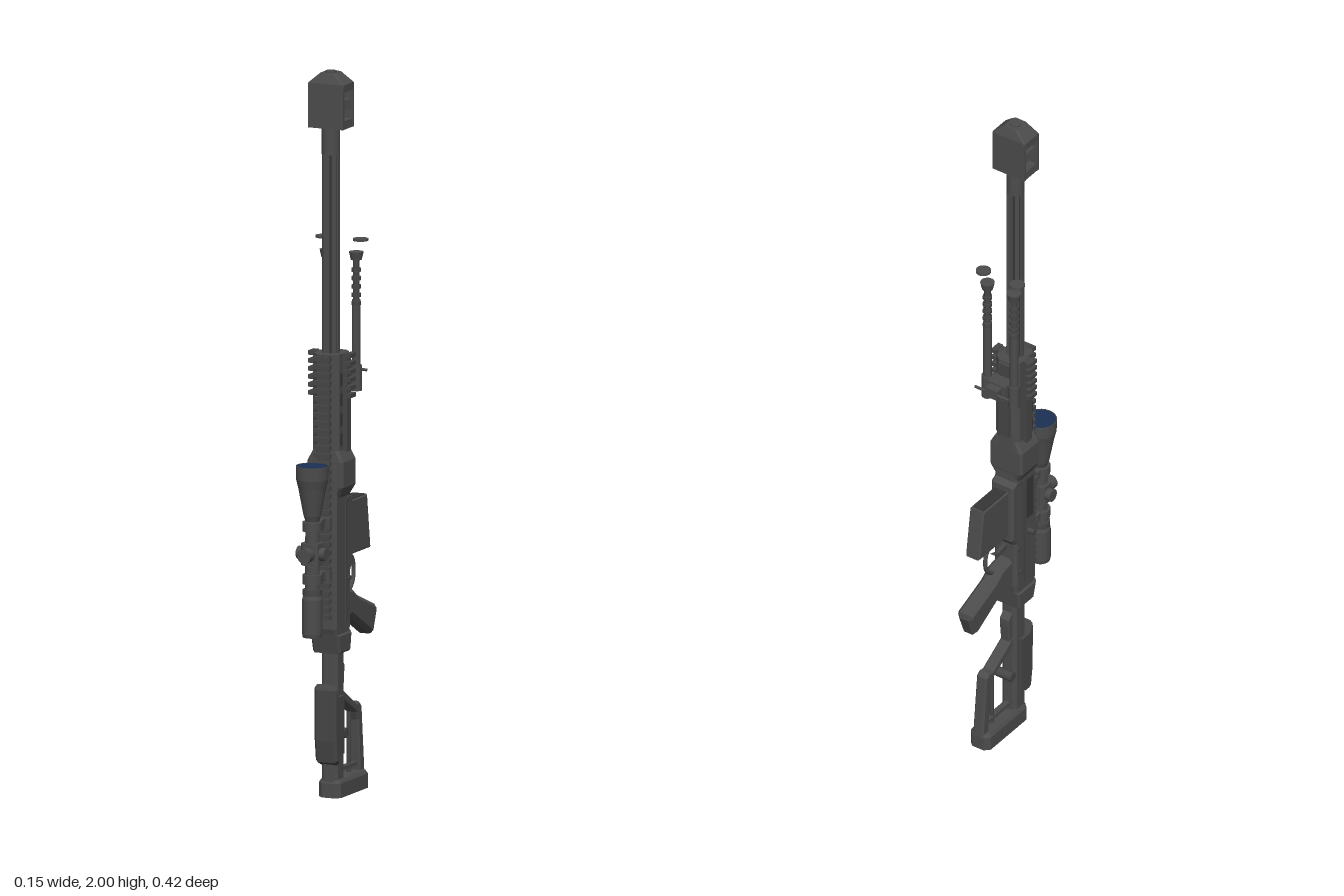
import * as THREE from 'three';

const mat = (name, color) => Object.assign(new THREE.MeshStandardMaterial({ color }), { name });

export function createModel() {
  const root = new THREE.Group();
  root.name = 'rifle';
  const body = new THREE.Group();
  body.name = 'body';
  body.position.x = 0.004;
  const bipod = new THREE.Group();
  bipod.name = 'bipod';
  root.add(body, bipod);
  let target = body;

  const metal = mat('gunmetal', 0x4c4c4c);
  const dark = mat('darkPolymer', 0x464646);
  const black = mat('blackSteel', 0x363636);
  const glass = mat('blueGlass', 0x1c3154);

  const add = (name, geo, m) => {
    const mesh = new THREE.Mesh(geo, m);
    mesh.name = name;
    target.add(mesh);
    return mesh;
  };
  const box = (name, m, x, y, z, w, h, d) =>
    add(name, new THREE.BoxGeometry(w, h, d).translate(x, y, z), m);
  // Upright cylinder between two heights
  const post = (name, m, x, z, y0, y1, r0, r1 = r0, seg = 16) =>
    add(name, new THREE.CylinderGeometry(r1, r0, y1 - y0, seg).translate(x, (y0 + y1) / 2, z), m);
  // Cylinder lying along x
  const pin = (name, m, x, y, z, r, len) =>
    add(name, new THREE.CylinderGeometry(r, r, len, 14).rotateZ(Math.PI / 2).translate(x, y, z), m);
  // Side outline of [z, y] points given a width along x, with bevelled edges
  const slab = (name, m, pts, w, bevel) => {
    const geo = new THREE.ExtrudeGeometry(new THREE.Shape(pts.map(p => new THREE.Vector2(...p))), {
      depth: w - 2 * bevel, bevelThickness: bevel, bevelSize: bevel, bevelOffset: -bevel, bevelSegments: 1,
    });
    return add(name, geo.translate(0, 0, bevel - w / 2).rotateY(-Math.PI / 2), m);
  };
  // Body lofted through chamfered rectangles [y, halfX, zBack, zFront, chamfer]
  const loft = (name, m, rows) => {
    const pos = [];
    const rings = rows.map(([y, a, z0, z1, c]) => [
      [a, z0 + c], [a, z1 - c], [a - c, z1], [c - a, z1],
      [-a, z1 - c], [-a, z0 + c], [c - a, z0], [a - c, z0],
    ].map(([x, z]) => [x, y, z]));
    const tri = (a, b, c) => pos.push(...a, ...b, ...c);
    for (let k = 0; k < rings.length - 1; k++) for (let i = 0; i < 8; i++) {
      const j = (i + 1) % 8, A = rings[k], B = rings[k + 1];
      tri(A[i], B[j], A[j]);
      tri(A[i], B[i], B[j]);
    }
    const first = rings[0], last = rings[rings.length - 1];
    for (let i = 1; i < 7; i++) {
      tri(first[0], first[i], first[i + 1]);
      tri(last[0], last[i + 1], last[i]);
    }
    const geo = new THREE.BufferGeometry();
    geo.setAttribute('position', new THREE.Float32BufferAttribute(pos, 3));
    geo.computeVertexNormals();
    return add(name, geo, m);
  };

  // Barrel with raised flutes and collar
  const bz = 0.037;
  post('barrel', black, 0, bz, 1.2, 1.86, 0.021);
  for (let i = 0; i < 8; i++) {
    const rib = box('barrelRib', metal, 0, 1.5, 0.0195, 0.012, 0.56, 0.009);
    rib.rotation.y = (i / 8) * Math.PI * 2;
    rib.position.z = bz;
  }
  post('barrelCollar', metal, 0, bz, 1.77, 1.85, 0.025);

  // Muzzle brake, open at the sides between baffles
  loft('brakeCap', metal, [[1.948, 0.054, 0.003, 0.071, 0.004], [1.968, 0.054, 0.003, 0.071, 0.004], [1.996, 0.022, 0.012, 0.062, 0.006]]);
  post('muzzle', metal, 0, bz, 1.99, 2.0, 0.015);
  loft('brakeBaffle', metal, [[1.898, 0.05, 0.004, 0.07, 0.004], [1.922, 0.045, 0.01, 0.064, 0.004]]);
  loft('brakeBase', metal, [[1.845, 0.052, 0.006, 0.068, 0.004], [1.868, 0.05, 0.006, 0.068, 0.004]]);
  for (const z of [0.0065, 0.0675]) box('brakePlate', metal, 0, 1.906, z, 0.106, 0.122, 0.007);

  // Handguard and swelling where it joins the receiver
  loft('handguard', metal, [[0.9, 0.038, -0.012, 0.08, 0.016], [1.225, 0.038, -0.012, 0.08, 0.016]]);
  loft('handguardShoulder', metal, [
    [0.83, 0.037, -0.008, 0.072, 0.008], [0.86, 0.054, -0.012, 0.078, 0.008],
    [0.93, 0.054, -0.012, 0.078, 0.008], [0.96, 0.038, -0.01, 0.076, 0.008],
  ]);
  for (const s of [-1, 1]) {
    box('sideRail', dark, s * 0.043, 1.09, 0.03, 0.016, 0.27, 0.026);
    for (let i = 0; i < 6; i++) box('sideRailTooth', dark, s * 0.056, 1.11 + i * 0.022, 0.03, 0.016, 0.012, 0.034);
    for (let i = 0; i < 4; i++) box('coolingSlot', black, s * 0.038, 0.99 + i * 0.055, 0.056, 0.005, 0.035, 0.01);
  }
  box('lowerRail', dark, 0, 1.1, -0.015, 0.036, 0.24, 0.012);

  // Toothed top rail
  box('topRail', dark, 0, 0.86, 0.08, 0.036, 0.73, 0.016);
  for (let i = 0; i < 33; i++) box('topRailTooth', dark, 0, 0.505 + i * 0.0222, 0.092, 0.05, 0.012, 0.012);

  // Receiver
  slab('receiver', metal, [[0.06, 0.4], [0.085, 0.47], [0.085, 0.92], [-0.008, 0.92], [-0.012, 0.83],
    [-0.03, 0.82], [-0.03, 0.64], [-0.014, 0.62], [-0.014, 0.48], [0, 0.4]], 0.074, 0.008);
  slab('receiverCollar', metal, [[0.066, 0.4], [0.08, 0.455], [-0.01, 0.455], [-0.002, 0.4]], 0.084, 0.006);
  for (const s of [-1, 1]) {
    box('receiverSeam', dark, s * 0.037, 0.65, 0.022, 0.006, 0.34, 0.008);
    for (const [y, z] of [[0.52, 0.01], [0.6, 0.0], [0.82, 0.005]]) pin('receiverPin', dark, s * 0.037, y, z, 0.007, 0.006);
  }
  box('ejectionPort', black, -0.037, 0.75, 0.05, 0.006, 0.13, 0.03);
  pin('boltHandle', dark, -0.045, 0.64, 0.045, 0.008, 0.026);

  // Magazine with dark upper face
  slab('magazine', metal, [[-0.02, 0.805], [-0.145, 0.805], [-0.166, 0.655], [-0.02, 0.655]], 0.046, 0.004);
  box('magazineTop', black, 0, 0.805, -0.086, 0.038, 0.004, 0.106);

  // Trigger, guard and pistol grip
  const guardPath = new THREE.CatmullRomCurve3([[0.645, -0.02], [0.645, -0.085], [0.62, -0.103], [0.575, -0.1], [0.552, -0.075], [0.555, -0.02]]
    .map(([y, z]) => new THREE.Vector3(0, y, z)));
  add('triggerGuard', new THREE.TubeGeometry(guardPath, 28, 0.006, 8), metal);
  slab('trigger', dark, [[-0.01, 0.615], [-0.05, 0.605], [-0.075, 0.613], [-0.05, 0.593], [-0.01, 0.595]], 0.012, 0.001);
  slab('pistolGrip', metal, [[-0.005, 0.57], [-0.06, 0.56], [-0.095, 0.535], [-0.205, 0.492], [-0.208, 0.475],
    [-0.185, 0.415], [-0.172, 0.415], [-0.09, 0.46], [-0.045, 0.485], [-0.005, 0.48]], 0.05, 0.011);

  // Telescopic sight
  const sz = 0.154;
  const profile = [[0, 0.46], [0.026, 0.46], [0.028, 0.47], [0.028, 0.565], [0.02, 0.59], [0.019, 0.78],
    [0.024, 0.795], [0.038, 0.87], [0.044, 0.895], [0.045, 0.932], [0.043, 0.932], [0.043, 0.922]];
  const tube = new THREE.LatheGeometry(profile.map(p => new THREE.Vector2(...p)), 24).toNonIndexed();
  tube.computeVertexNormals();
  add('scopeTube', tube.translate(0, 0, sz), metal);
  post('scopeLens', glass, 0, sz, 0.922, 0.931, 0.0435, 0.0435, 24);
  post('scopeZoomRing', dark, 0, sz, 0.575, 0.592, 0.026);
  loft('turretBlock', metal, [[0.66, 0.026, 0.13, 0.182, 0.01], [0.72, 0.026, 0.13, 0.182, 0.01]]);
  add('topTurret', new THREE.CylinderGeometry(0.02, 0.02, 0.03, 16).rotateX(Math.PI / 2).translate(0, 0.69, 0.192), metal);
  for (const s of [-1, 1]) pin('sideTurret', metal, s * 0.031, 0.69, sz, 0.018, 0.022);
  for (const y of [0.62, 0.765]) {
    post('scopeRing', metal, 0, sz, y - 0.013, y + 0.013, 0.027);
    box('scopeMount', metal, 0, y, 0.118, 0.03, 0.026, 0.046);
    box('scopeClamp', metal, 0, y, 0.096, 0.054, 0.03, 0.016);
  }

  // Skeleton stock
  loft('stockTube', metal, [[0.03, 0.024, 0.0, 0.054, 0.01], [0.41, 0.024, 0.0, 0.054, 0.01]]);
  slab('cheekRest', dark, [[0.05, 0.09], [0.07, 0.1], [0.078, 0.16], [0.08, 0.3], [0.07, 0.315], [0.04, 0.26], [0.04, 0.12]], 0.066, 0.008);
  for (const s of [-1, 1]) box('cheekFlank', dark, s * 0.027, 0.2, 0.04, 0.012, 0.16, 0.035);
  loft('buttPlate', metal, [[0, 0.033, -0.14, 0.056, 0.014], [0.04, 0.033, -0.14, 0.056, 0.014], [0.05, 0.027, -0.132, 0.05, 0.01]]);
  slab('stockStrut', metal, [[0.005, 0.3], [-0.015, 0.285], [-0.092, 0.238], [-0.11, 0.24], [-0.124, 0.228], [-0.126, 0.205],
    [-0.142, 0.04], [-0.11, 0.04], [-0.1, 0.19], [-0.09, 0.212], [0.005, 0.265]], 0.034, 0.005);
  post('stockRod', dark, 0, -0.075, 0.05, 0.215, 0.006);
  box('stockCrossbar', metal, 0, 0.068, -0.06, 0.016, 0.01, 0.13);
  pin('adjusterKnob', dark, 0, 0.17, -0.01, 0.014, 0.05);
  slab('stockLatch', metal, [[0.005, 0.38], [-0.018, 0.36], [-0.018, 0.34], [-0.012, 0.28], [0.005, 0.28]], 0.03, 0.003);

  // Folded bipod
  target = bipod;
  box('bipodBracket', metal, 0, 1.155, -0.035, 0.06, 0.05, 0.05);
  box('bipodBlock', metal, 0, 1.16, -0.063, 0.04, 0.03, 0.04);
  for (const s of [-1, 1]) {
    const x = s * 0.044;
    pin('bipodPin', metal, s * 0.037, 1.16, -0.079, 0.004, 0.038);
    post('bipodHinge', metal, x, -0.038, 1.11, 1.18, 0.016);
    post('bipodLeg', metal, x, -0.038, 1.17, 1.36, 0.012);
    post('bipodLowerLeg', dark, x, -0.038, 1.36, 1.475, 0.009);
    for (let i = 0; i < 5; i++) post('legNotch', dark, x, -0.038, 1.345 + i * 0.023, 1.355 + i * 0.023, 0.013);
    post('legCap', metal, x, -0.038, 1.47, 1.492, 0.015, 0.02);
    post('bipodFoot', metal, s * 0.056, -0.04, 1.523, 1.529, 0.021);
  }

  return root;
}
